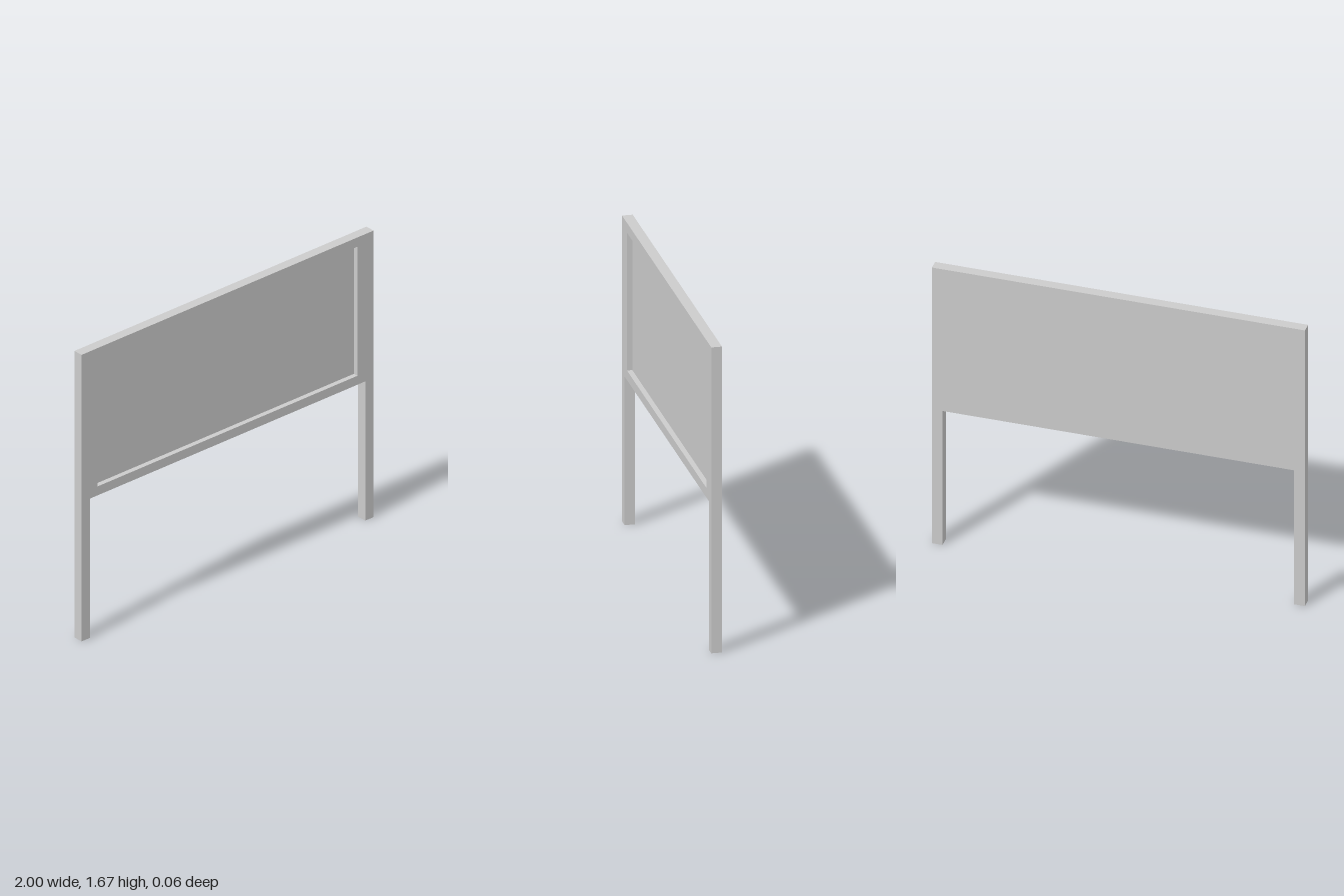
import * as THREE from 'three';

const HALF_W = 1, TOP = 1.667, DEPTH = 0.056;
const LEG_W = 0.057, RAIL_Y = 0.81;
const PANEL = { x: 0.89, bottom: 0.862, top: 1.613 };

export function createModel() {
  const group = new THREE.Group();
  const material = new THREE.MeshStandardMaterial({ color: 0xcccccc, flatShading: true });
  const add = (name, geometry) => {
    const mesh = new THREE.Mesh(geometry, material);
    mesh.name = name;
    group.add(mesh);
    return mesh;
  };

  // Frame and both legs in one outline, with the panel opening cut out
  const inner = HALF_W - LEG_W;
  const toPoints = (list) => list.map(([x, y]) => new THREE.Vector2(x, y));
  const outline = new THREE.Shape(toPoints([
    [-HALF_W, 0], [-inner, 0], [-inner, RAIL_Y], [inner, RAIL_Y],
    [inner, 0], [HALF_W, 0], [HALF_W, TOP], [-HALF_W, TOP],
  ]));
  outline.holes.push(new THREE.Path(toPoints([
    [-PANEL.x, PANEL.bottom], [-PANEL.x, PANEL.top],
    [PANEL.x, PANEL.top], [PANEL.x, PANEL.bottom],
  ])));
  const frame = new THREE.ExtrudeGeometry(outline, { depth: DEPTH, bevelEnabled: false });
  frame.translate(0, 0, -DEPTH / 2);
  add('frameWithLegs', frame);

  // Board set back from the front, flush with the back
  const board = add('recessedPanel',
    new THREE.BoxGeometry(2 * PANEL.x, PANEL.top - PANEL.bottom, DEPTH / 2));
  board.position.set(0, (PANEL.top + PANEL.bottom) / 2, -DEPTH / 4);

  return group;
}
